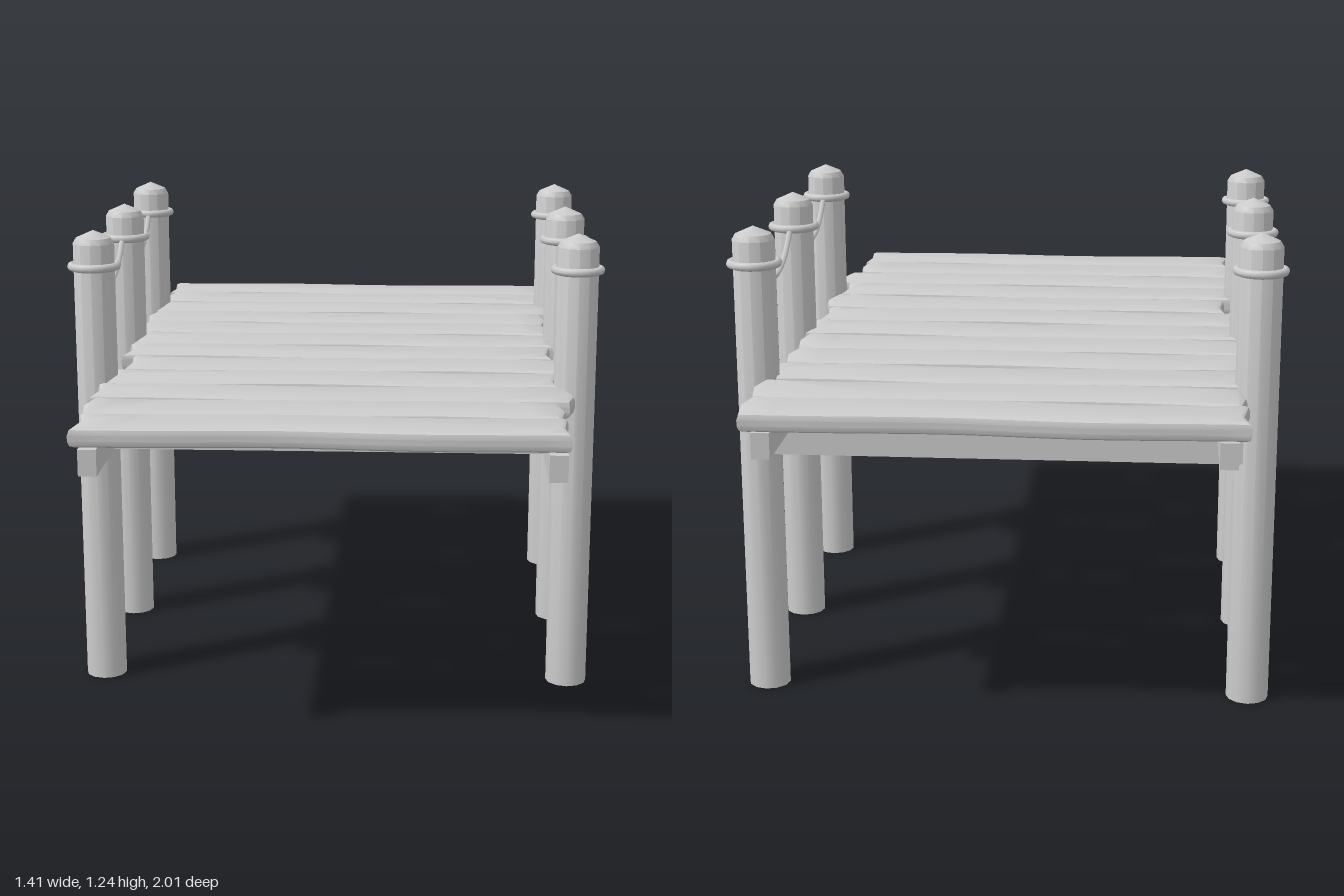
import * as THREE from 'three';
import { toCreasedNormals } from 'three/addons/utils/BufferGeometryUtils.js';

const mat = new THREE.MeshStandardMaterial({ color: 0xcccccc });
const POST_X = 0.635;
const POST_Z = [0.395, -0.122, -0.64];
const POST_R = 0.055;
const ROPE_Y = 1.14;

function add(parent, name, geometry, x = 0, y = 0, z = 0) {
  const mesh = new THREE.Mesh(geometry, mat);
  mesh.name = name;
  mesh.position.set(x, y, z);
  parent.add(mesh);
  return mesh;
}

// Plank: wavy outline with notched or pointed ends, extruded with a soft bevel
function plankGeometry(x0, x1, endL, endR, phase) {
  const half = 0.079, steps = 16, pts = [];
  const wave = (x, k) => 0.007 * Math.sin(6.2 * x + phase) + 0.003 * Math.sin(11 * x + phase * 2 + k);
  for (let i = 0; i <= steps; i++) {
    const x = x0 + (x1 - x0) * i / steps;
    pts.push(new THREE.Vector2(x, -half + wave(x, 0)));
  }
  pts.push(new THREE.Vector2(x1 + endR, 0.01));
  for (let i = steps; i >= 0; i--) {
    const x = x0 + (x1 - x0) * i / steps;
    pts.push(new THREE.Vector2(x, half + wave(x, 0.8)));
  }
  pts.push(new THREE.Vector2(x0 - endL, -0.01));
  const geo = new THREE.ExtrudeGeometry(new THREE.Shape(pts), {
    depth: 0.014, bevelEnabled: true, bevelThickness: 0.018,
    bevelSize: 0.014, bevelOffset: -0.014, bevelSegments: 2,
  });
  geo.rotateX(Math.PI / 2);
  geo.translate(0, 0.007, 0);
  return toCreasedNormals(geo, 0.6);
}

// Rope hanging between two posts
function ropeGeometry(za, zb) {
  const pts = [];
  for (let i = 0; i <= 8; i++) {
    const t = i / 8;
    const sag = 0.085 * (1 - (2 * t - 1) ** 2);
    pts.push(new THREE.Vector3(0, ROPE_Y - sag, za + (zb - za) * t));
  }
  return new THREE.TubeGeometry(new THREE.CatmullRomCurve3(pts), 20, 0.008, 6);
}

export function createModel() {
  const model = new THREE.Group();
  model.name = 'dock';

  // Deck planks: [z, left edge x, right edge x, end points out (+) or in (-)]
  const planks = [
    [-0.92, -0.61, 0.612, -0.014, 0.012], [-0.757, -0.592, 0.612, 0.014, 0.015],
    [-0.592, -0.61, 0.61, -0.013, 0.013], [-0.42, -0.606, 0.592, 0.016, 0.015],
    [-0.26, -0.606, 0.592, 0.016, 0.013], [-0.095, -0.606, 0.606, -0.012, -0.014],
    [0.075, -0.61, 0.594, -0.016, -0.012], [0.243, -0.578, 0.598, -0.01, 0.018],
    [0.412, -0.6, 0.592, -0.012, -0.012], [0.583, -0.615, 0.606, -0.013, 0.017],
    [0.745, -0.6, 0.576, 0.014, 0.014], [0.905, -0.606, 0.59, -0.015, -0.01],
  ];
  const deck = new THREE.Group();
  deck.name = 'deck';
  model.add(deck);
  planks.forEach(([z, x0, x1, endL, endR], i) => {
    add(deck, 'plank', plankGeometry(x0, x1, endL, endR, 0.3 + i * 2.2), 0, 0.825, z);
  });

  // Post with a chamfered, pointed top
  const postProfile = [[0, 0], [POST_R, 0], [POST_R, 1.2], [0.046, 1.215], [0, 1.235]]
    .map(([r, y]) => new THREE.Vector2(r, y));
  const postGeo = toCreasedNormals(new THREE.LatheGeometry(postProfile, 12), 0.55);
  const ringGeo = new THREE.TorusGeometry(0.06, 0.011, 8, 20);
  ringGeo.rotateX(Math.PI / 2);

  for (const side of [-1, 1]) {
    // Long beam under the planks
    add(model, 'stringer', new THREE.BoxGeometry(0.045, 0.066, 2), side * 0.558, 0.768, 0);

    for (const z of POST_Z) {
      add(model, 'post', postGeo, side * POST_X, 0, z);
      add(model, 'ropeRing', ringGeo, side * POST_X, ROPE_Y, z);
    }
    for (let i = 0; i < POST_Z.length - 1; i++) {
      add(model, 'rope', ropeGeometry(POST_Z[i] - POST_R, POST_Z[i + 1] + POST_R), side * POST_X);
    }
  }

  // Pairs of cross beams clamping each row of posts
  const beamGeo = new THREE.BoxGeometry(1.2, 0.065, 0.055);
  for (const z of POST_Z) {
    for (const s of [-1, 1]) add(model, 'crossBeam', beamGeo, 0, 0.7025, z + s * 0.0815);
  }
  return model;
}
